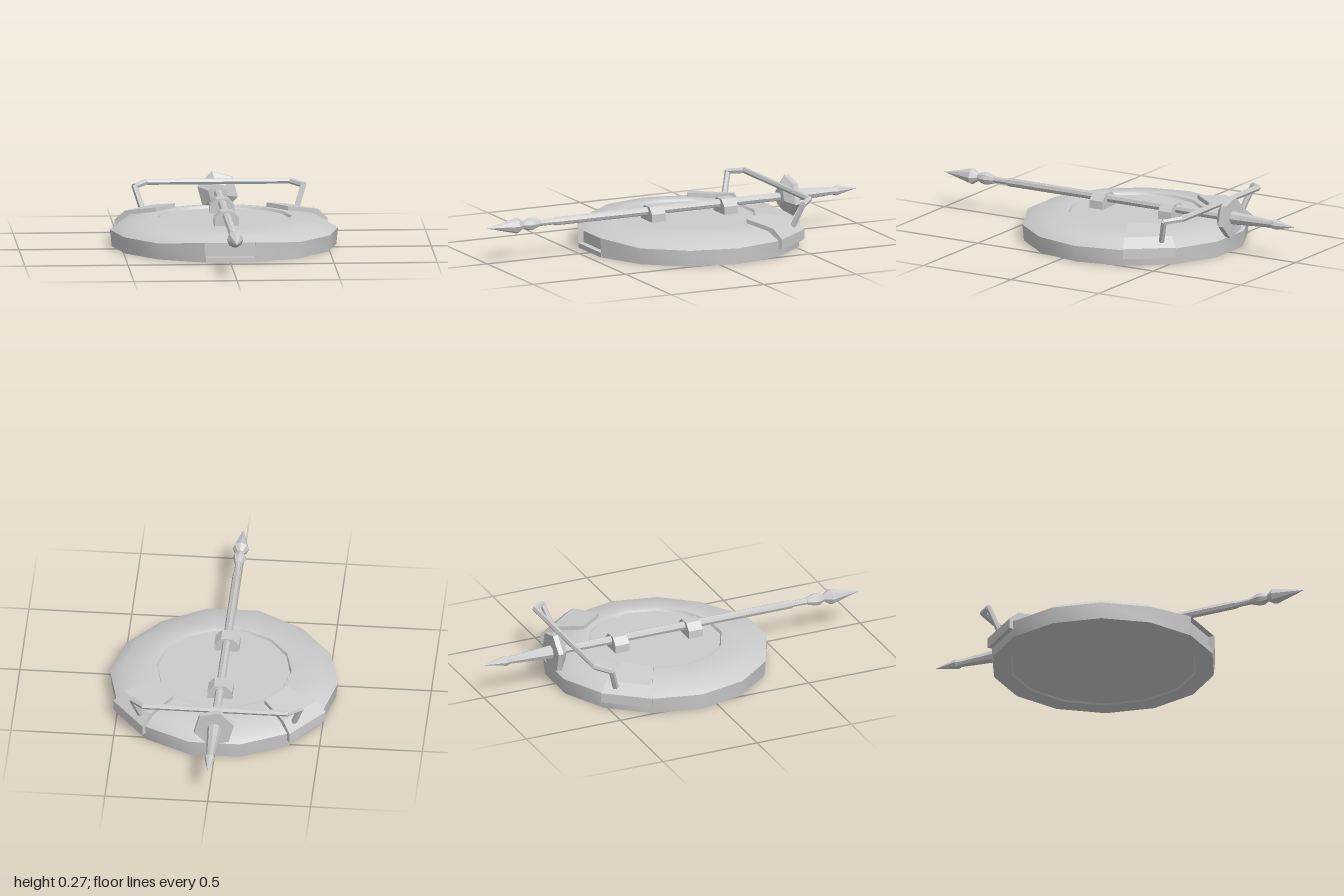
import * as THREE from 'three';
import { toCreasedNormals } from 'three/addons/utils/BufferGeometryUtils.js';
import { ConvexGeometry } from 'three/addons/geometries/ConvexGeometry.js';

const SIDES = 14;
const STEP = (Math.PI * 2) / SIDES;
const DISC_Z = -0.09;
const SPEAR_Y = 0.175;

export function createModel() {
  const model = new THREE.Group();
  const grey = new THREE.MeshStandardMaterial({ color: 0xcccccc });

  const add = (name, geometry, parent = model, material = grey) => {
    const mesh = new THREE.Mesh(geometry, material);
    mesh.name = name;
    parent.add(mesh);
    return mesh;
  };
  const lathe = (points, segments, start = 0, length = Math.PI * 2) =>
    new THREE.LatheGeometry(points.map(([r, y]) => new THREE.Vector2(r, y)), segments, start, length);

  // Disc: bottom, wall and top share a fourteen-sided outline
  const disc = new THREE.Group();
  disc.name = 'disc';
  disc.position.z = DISC_Z;
  model.add(disc);
  const raiseFront = (geometry) => {
    // the shoulder edge rises above the front slot
    const p = geometry.attributes.position;
    for (let i = 0; i < p.count; i++) {
      if (Math.abs(p.getY(i) - 0.08) < 1e-4 && Math.abs(p.getX(i)) < 0.13 && p.getZ(i) > 0) p.setY(i, 0.097);
    }
    return toCreasedNormals(geometry, 0.5);
  };
  add('discBottom', toCreasedNormals(lathe([[0, 0.008], [0.45, 0.008], [0.456, 0], [0.545, 0]], SIDES, STEP / 2), 0.5), disc);
  add('discWall', raiseFront(lathe([[0.545, 0], [0.553, 0.08]], SIDES - 1, STEP / 2, STEP * (SIDES - 1))), disc);
  add('discTop', raiseFront(lathe(
    [[0.553, 0.08], [0.49, 0.12], [0.345, 0.143], [0.328, 0.14], [0.322, 0.128], [0, 0.13]], SIDES, STEP / 2)), disc);

  // Front slot: a lip below and a shallow pocket seen from inside
  const lip = add('slotLip', new THREE.BoxGeometry(0.244, 0.025, 0.04), disc);
  lip.position.set(0, 0.0125, 0.514);
  const inside = grey.clone();
  inside.side = THREE.BackSide;
  const pocket = add('slotPocket', new THREE.BoxGeometry(0.246, 0.072, 0.03), disc, inside);
  pocket.position.set(0, 0.061, 0.523);

  // Brackets wrapping one rim facet on each side
  const bracketProfile = [[0.35, 0.1], [0.356, 0.162], [0.52, 0.136], [0.573, 0.09], [0.573, 0.04], [0.5, 0.04]];
  for (const side of [1, -1]) {
    const points = [];
    for (const k of [1, 2]) {
      for (const [r, y] of bracketProfile) {
        points.push(new THREE.Vector3(side * r * Math.cos(k * STEP), y, -r * Math.sin(k * STEP)));
      }
    }
    add(side > 0 ? 'leftBracket' : 'rightBracket', new ConvexGeometry(points), disc);
  }

  // Handle: straight six-sided bars between bend points
  const handle = new THREE.Group();
  handle.name = 'handle';
  model.add(handle);
  const half = [[0.375, 0.12, -0.47], [0.41, 0.225, -0.505], [0.35, 0.235, -0.567]];
  const path = [...half, ...half.map(([x, y, z]) => [-x, y, z]).reverse()].map((p) => new THREE.Vector3(...p));
  for (let i = 0; i < path.length - 1; i++) {
    const dir = path[i + 1].clone().sub(path[i]);
    const bar = add('handleBar', toCreasedNormals(new THREE.CylinderGeometry(0.015, 0.015, dir.length() + 0.008, 6), 0.5), handle);
    bar.position.copy(path[i]).addScaledVector(dir, 0.5);
    bar.quaternion.setFromUnitVectors(new THREE.Vector3(0, 1, 0), dir.normalize());
  }

  // Spear along z: back spike, shaft, collar and front point
  const spear = new THREE.Group();
  spear.name = 'spear';
  spear.position.y = SPEAR_Y;
  model.add(spear);
  const along = (points, segments) => toCreasedNormals(lathe(points, segments).rotateX(Math.PI / 2), 0.5);
  add('backSpike', along([[0, -1], [0.026, -0.885], [0.019, -0.865], [0.034, -0.64]], 8), spear);
  add('shaft', along([[0.021, -0.64], [0.021, 0.63], [0.016, 0.64], [0.016, 0.73]], 8), spear);
  add('spearHead', along(
    [[0, 0.715], [0.018, 0.715], [0.031, 0.755], [0.031, 0.775], [0.018, 0.805], [0.04, 0.84], [0, 1]], 8), spear);
  add('guard', along([[0, -0.645], [0.1, -0.645], [0.102, -0.62], [0.05, -0.582], [0, -0.575]], 6), spear)
    .rotation.z = Math.PI / 12;

  // Clips holding the shaft to the disc
  const clipShape = new THREE.Shape([
    [-0.06, 0.12], [0.06, 0.12], [0.06, 0.168], [0.028, 0.2], [-0.028, 0.2], [-0.06, 0.168],
  ].map(([x, y]) => new THREE.Vector2(x, y)));
  for (const z of [-0.29, 0.1]) {
    const clip = add(z < 0 ? 'backClip' : 'frontClip',
      new THREE.ExtrudeGeometry(clipShape, { depth: 0.074, bevelEnabled: false }));
    clip.position.z = z - 0.037;
  }

  return model;
}
